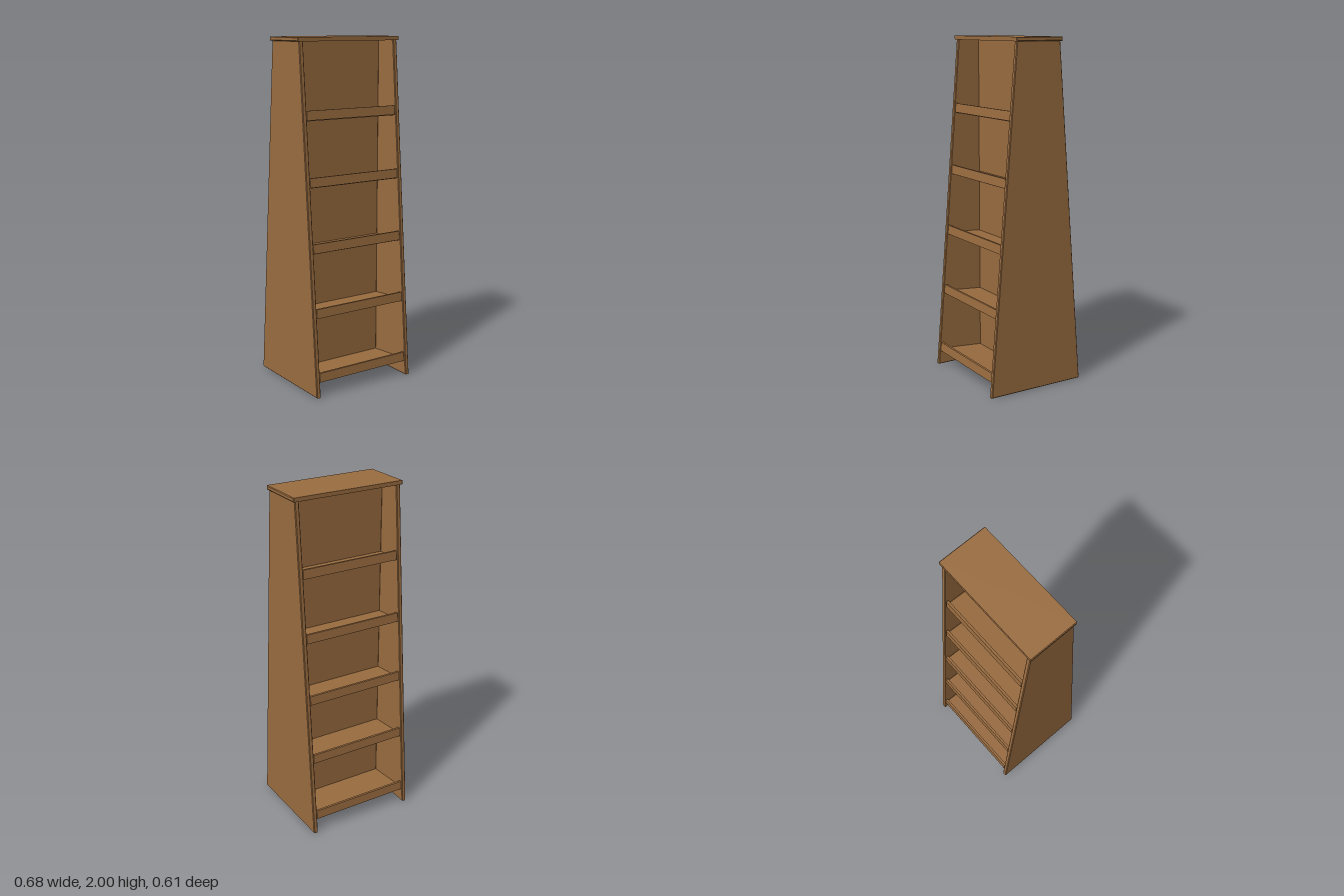
import * as THREE from 'three';

const BEVEL = 0.004;
const wood = new THREE.MeshStandardMaterial({ name: 'brown wood', color: 0x9b6d40 });

// Flat board: an outline in the z-y plane, given thickness along x, with chamfered edges
function board(name, outline, thickness) {
  const shape = new THREE.Shape(outline.map(([z, y]) => new THREE.Vector2(-z, y)));
  const geometry = new THREE.ExtrudeGeometry(shape, {
    depth: thickness - 2 * BEVEL,
    bevelEnabled: true,
    bevelSegments: 1,
    bevelThickness: BEVEL,
    bevelSize: BEVEL,
    bevelOffset: -BEVEL,
  });
  geometry.translate(0, 0, BEVEL - thickness / 2);
  geometry.rotateY(Math.PI / 2);
  const mesh = new THREE.Mesh(geometry, wood);
  mesh.name = name;
  return mesh;
}

const rect = (z0, z1, y0, y1) => [[z0, y0], [z1, y0], [z1, y1], [z0, y1]];

export function createModel() {
  const model = new THREE.Group();
  model.name = 'doubleSidedBookcase';

  const sideTop = 1.98;
  const bottomHalf = 0.3025;
  const topHalf = 0.14;
  const slope = (bottomHalf - topHalf) / sideTop;
  const tilt = Math.atan(slope);
  const innerWidth = 0.61;
  const dividerHalf = 0.008;

  // Tapered side panels
  for (const [name, sign] of [['leftSide', 1], ['rightSide', -1]]) {
    const side = board(name, [
      [-bottomHalf, 0], [bottomHalf, 0], [topHalf, sideTop], [-topHalf, sideTop],
    ], 0.026);
    side.position.x = sign * 0.318;
    model.add(side);
  }

  // Overhanging top and central divider
  model.add(board('topBoard', rect(-0.1485, 0.1485, 1.977, 2), 0.684));
  model.add(board('divider', rect(-dividerHalf, dividerHalf, 0.025, 1.98), innerWidth));

  // Five levels of shelves on both faces, tilted back towards the divider
  for (const [face, turn] of [['front', 0], ['back', Math.PI]]) {
    const bank = new THREE.Group();
    bank.name = face + 'Shelves';
    bank.rotation.y = turn;
    for (let i = 0; i < 5; i++) {
      const y = 0.086 + i * 0.367;
      const z = bottomHalf - slope * y - 0.005;
      const depth = (z - dividerHalf + 0.003) / Math.cos(tilt);
      const shelf = new THREE.Group();
      shelf.name = face + 'Shelf' + (i + 1);
      shelf.position.set(0, y, z);
      shelf.rotation.x = -tilt;
      shelf.add(
        board('shelfBoard', rect(-depth, -0.014, -0.004, 0.016), innerWidth),
        board('shelfLip', rect(-0.015, 0, 0, 0.053), innerWidth),
      );
      bank.add(shelf);
    }
    model.add(bank);
  }

  return model;
}
